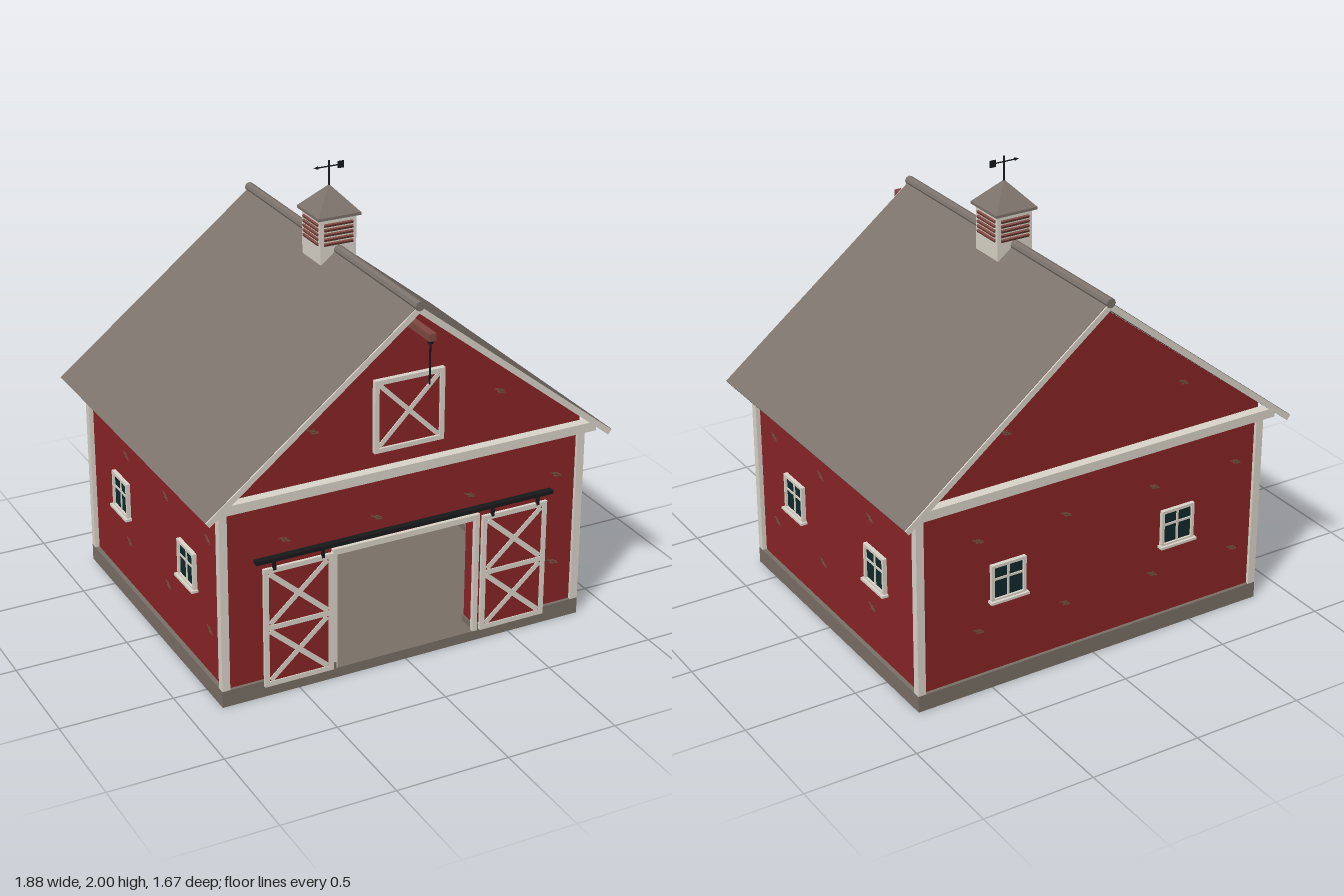
import * as THREE from 'three';

const mat = (name, color) => {
  const m = new THREE.MeshStandardMaterial({ color });
  m.name = name;
  return m;
};

export function createModel() {
  const red = mat('barn red', 0x8a2426);
  const trim = mat('cream trim', 0xdcd6ca);
  const roofGrey = mat('shingle grey', 0x7c736c);
  const stone = mat('foundation stone', 0x7a7067);
  const wood = mat('brown wood', 0x804a42);
  const patch = mat('weathered board', 0x70503f);
  const glass = mat('dark glass', 0x102a2b);
  const iron = mat('black iron', 0x17191b);

  const root = new THREE.Group();
  root.name = 'barn';
  const add = (parent, name, geo, m, x = 0, y = 0, z = 0) => {
    const mesh = new THREE.Mesh(geo, m);
    mesh.name = name;
    mesh.position.set(x, y, z);
    parent.add(mesh);
    return mesh;
  };
  const box = (parent, name, m, w, h, d, x, y, z) =>
    add(parent, name, new THREE.BoxGeometry(w, h, d), m, x, y, z);
  const group = (name, x, y, z, ry = 0, parent = root) => {
    const g = new THREE.Group();
    g.name = name;
    g.position.set(x, y, z);
    g.rotation.y = ry;
    parent.add(g);
    return g;
  };

  const CZ = -0.05, FRONT = 0.645, BACK = -0.745, SIDE = 0.83;
  const SIDES = [-1, 1];

  // Foundation: slab with a raised curb, open at the doorway
  box(root, 'floorSlab', stone, 1.7, 0.045, 1.42, 0, 0.0225, CZ);
  for (const s of SIDES) {
    box(root, 'sideCurb', stone, 0.1, 0.03, 1.42, s * 0.8, 0.06, CZ);
    box(root, 'frontCurb', stone, 0.42, 0.03, 0.1, s * 0.54, 0.06, 0.61);
  }
  box(root, 'backCurb', stone, 1.5, 0.03, 0.1, 0, 0.06, -0.71);

  // Gable walls, the front one with a doorway
  const gableWall = (name, z, open) => {
    const s = new THREE.Shape();
    s.moveTo(-SIDE, 0.045);
    if (open) {
      s.lineTo(-0.335, 0.045).lineTo(-0.335, 0.595);
      s.lineTo(0.335, 0.595).lineTo(0.335, 0.045);
    }
    s.lineTo(SIDE, 0.045).lineTo(SIDE, 0.95).lineTo(0, 1.6).lineTo(-SIDE, 0.95);
    add(root, name, new THREE.ExtrudeGeometry(s, { depth: 0.08, bevelEnabled: false }), red, 0, 0, z);
  };
  gableWall('frontWall', FRONT - 0.08, true);
  gableWall('backWall', BACK, false);
  for (const s of SIDES) {
    box(root, 'sideWall', red, 0.06, 0.9, 1.38, s * 0.8, 0.495, CZ);
    box(root, 'sideLining', stone, 0.01, 0.84, 1.23, s * 0.765, 0.465, CZ);
  }
  box(root, 'backLining', stone, 1.53, 0.84, 0.01, 0, 0.465, -0.66);
  box(root, 'loftFloor', stone, 1.54, 0.02, 1.23, 0, 0.895, CZ);

  // Corner boards and gable bands
  for (const s of SIDES) for (const z of [0.6425, -0.7425])
    box(root, 'cornerBoard', trim, 0.035, 0.815, 0.035, s * 0.8325, 0.4825, z);
  for (const [z, d] of [[0.667, 0.045], [-0.767, 0.045]])
    box(root, 'gableBand', trim, 1.77, 0.042, d, 0, 0.91, z);

  // Roof slopes with edge boards, plus the ridge cap
  const SLOPE = Math.atan2(0.735, 0.93), LEN = 1.195, T = 0.028;
  for (const s of SIDES) {
    const g = group(s < 0 ? 'rightRoofSlope' : 'leftRoofSlope', 0, 1.642, CZ);
    g.rotation.z = -s * SLOPE;
    box(g, 'roofPanel', roofGrey, LEN, T, 1.55, s * LEN / 2, -T / 2, 0);
    for (const e of SIDES)
      box(g, 'rakeBoard', trim, LEN, T - 0.002, 0.012, s * LEN / 2, -T / 2 - 0.001, e * 0.775);
  }
  add(root, 'ridgeCap', new THREE.CylinderGeometry(0.021, 0.021, 1.57, 8).rotateX(Math.PI / 2).toNonIndexed(), roofGrey, 0, 1.638, CZ)
    .geometry.computeVertexNormals();

  // Rectangular frame of four boards, and diagonal cross braces
  const frame = (g, w, h, t, d, z, y = 0) => {
    for (const s of SIDES) {
      box(g, 'frameStile', trim, t, h, d, s * (w - t) / 2, y, z);
      box(g, 'frameRail', trim, w - 2 * t, t, d, 0, y + s * (h - t) / 2, z);
    }
  };
  const cross = (g, w, h, t, d, z, y = 0) => {
    for (const s of SIDES)
      box(g, 'crossBrace', trim, Math.hypot(w, h) - t * 0.7, t, d - (s + 1) * 0.001, 0, y, z)
        .rotation.z = s * Math.atan2(h, w);
  };

  // Sliding doors on an iron track
  for (const s of SIDES) {
    const door = group(s < 0 ? 'rightSlidingDoor' : 'leftSlidingDoor', s * 0.508, 0.327, 0.667);
    box(door, 'doorPanel', red, 0.305, 0.54, 0.01, 0, 0, 0);
    frame(door, 0.315, 0.548, 0.022, 0.014, 0.003);
    box(door, 'middleRail', trim, 0.27, 0.022, 0.014, 0, 0, 0.003);
    for (const y of [-0.132, 0.132]) cross(door, 0.271, 0.242, 0.023, 0.012, 0.003, y);
    for (const x of [-0.11, 0.11]) box(door, 'doorHanger', iron, 0.014, 0.05, 0.01, x, 0.29, 0.008);
    box(root, 'doorJamb', trim, 0.022, 0.55, 0.02, s * 0.335, 0.32, 0.65);
  }
  box(root, 'doorLintel', trim, 0.69, 0.026, 0.022, 0, 0.594, 0.651);
  box(root, 'doorTrack', iron, 1.39, 0.016, 0.03, 0, 0.635, 0.661);

  // Loft hatch
  const hatch = group('loftHatch', 0, 1.16, FRONT);
  box(hatch, 'hatchPanel', red, 0.31, 0.31, 0.012, 0, 0, 0.005);
  frame(hatch, 0.32, 0.32, 0.02, 0.024, 0.01);
  cross(hatch, 0.28, 0.28, 0.02, 0.016, 0.008);

  // Hoist beam with pulley and rope
  box(root, 'hoistBeam', wood, 0.032, 0.032, 0.21, 0, 1.546, 0.735);
  add(root, 'pulley', new THREE.CylinderGeometry(0.014, 0.014, 0.014, 12).rotateZ(Math.PI / 2), iron, 0, 1.525, 0.82);
  add(root, 'hoistRope', new THREE.CylinderGeometry(0.004, 0.004, 0.19, 6), iron, 0, 1.435, 0.82);

  // Windows
  const addWindow = (x, z, ry) => {
    const w = group('window', x, 0.49, z, ry);
    box(w, 'windowGlass', glass, 0.145, 0.155, 0.008, 0, 0, 0.004);
    frame(w, 0.165, 0.17, 0.013, 0.018, 0.009);
    box(w, 'muntin', trim, 0.01, 0.15, 0.012, 0, 0, 0.006);
    box(w, 'muntin', trim, 0.142, 0.01, 0.012, 0, 0.015, 0.006);
    box(w, 'windowSill', trim, 0.182, 0.011, 0.03, 0, -0.085, 0.015);
  };
  for (const s of SIDES) {
    for (const z of [0.303, -0.402]) addWindow(s * SIDE, z, s * Math.PI / 2);
    addWindow(s * 0.42, BACK, Math.PI);
  }

  // Weathered patches: short staggered streaks on every wall
  const addPatch = (x, y, z, ry) => {
    const g = group('weatheredPatch', x, y, z, ry);
    [[-0.006, 0.008], [0.006, 0], [0.012, -0.009]].forEach(([dx, dy]) => {
      box(g, 'streak', patch, 0.036, 0.005, 0.003, dx, dy, 0.001).rotation.z = -0.15;
    });
  };
  for (const y of [0.28, 0.7]) {
    for (const x of [-0.56, -0.14, 0.3, 0.72]) {
      if (y > 0.5 || x > 0.7) addPatch(x, y, FRONT, 0);
      addPatch(-x, y, BACK, Math.PI);
    }
    for (const s of SIDES) for (const z of [0.5, 0.075, -0.35]) addPatch(s * SIDE, y, z, s * Math.PI / 2);
  }
  for (const x of [-0.43, 0.43]) {
    addPatch(x, 1.15, FRONT, 0);
    addPatch(x, 1.15, BACK, Math.PI);
  }

  // Cupola with louvres on four sides and a pyramid roof
  const cupola = group('cupola', 0, 0, CZ);
  box(cupola, 'cupolaBody', trim, 0.168, 0.2, 0.168, 0, 1.68, 0);
  for (let k = 0; k < 4; k++) {
    const face = group('louvres', 0, 1.71, 0, k * Math.PI / 2, cupola);
    for (let i = -2; i <= 2; i++)
      box(face, 'louvreSlat', wood, 0.135, 0.011, 0.014, 0, i * 0.021, 0.084).rotation.x = 0.4;
  }
  box(cupola, 'cupolaEave', roofGrey, 0.2, 0.012, 0.2, 0, 1.784, 0);
  const pyramid = new THREE.ConeGeometry(0.1 * Math.SQRT2, 0.108, 4).rotateY(Math.PI / 4).toNonIndexed();
  pyramid.computeVertexNormals();
  add(cupola, 'cupolaRoof', pyramid, roofGrey, 0, 1.843, 0);

  // Weather vane
  const vane = group('weatherVane', 0, 1.975, CZ);
  add(vane, 'vaneRod', new THREE.CylinderGeometry(0.004, 0.004, 0.12, 8), iron, 0, -0.035, 0);
  add(vane, 'vaneArm', new THREE.CylinderGeometry(0.003, 0.003, 0.12, 8).rotateZ(Math.PI / 2), iron);
  add(vane, 'vaneTip', new THREE.ConeGeometry(0.007, 0.02, 8).rotateZ(Math.PI / 2), iron, -0.062, 0, 0);
  box(vane, 'vaneTail', iron, 0.028, 0.03, 0.005, 0.055, 0, 0);

  return root;
}
